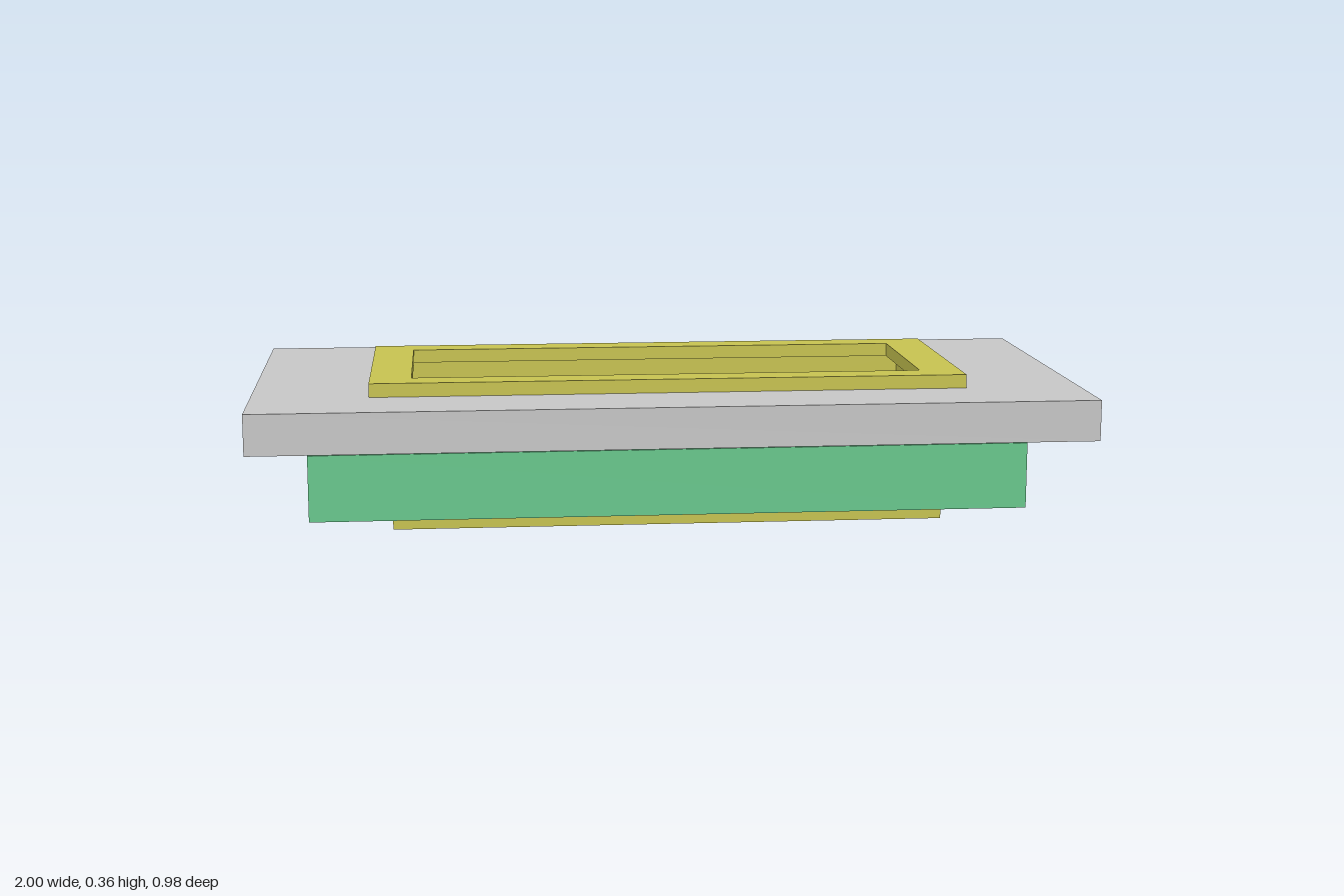
import * as THREE from 'three';

const grey = new THREE.MeshStandardMaterial({ color: 0xcacaca });
grey.name = 'plate grey';
const yellow = new THREE.MeshStandardMaterial({ color: 0xcac652 });
yellow.name = 'sleeve yellow';
const green = new THREE.MeshStandardMaterial({ color: 0x6acb8f });
green.name = 'clamp green';

const rect = (x, z) => [[-x, -z], [x, -z], [x, z], [-x, z]];
const points = (list) => list.map(([a, b]) => new THREE.Vector2(a, b));

// Horizontal frame: an outline with a hole, from y0 to y1
function frame(name, material, outer, hole, y0, y1) {
  const shape = new THREE.Shape(points(outer));
  shape.holes.push(new THREE.Path(points(hole)));
  const geometry = new THREE.ExtrudeGeometry(shape, { depth: y1 - y0, bevelEnabled: false });
  geometry.rotateX(-Math.PI / 2).translate(0, y0, 0);
  const mesh = new THREE.Mesh(geometry, material);
  mesh.name = name;
  return mesh;
}

function box(name, material, w, h, d, x, y, z) {
  const mesh = new THREE.Mesh(new THREE.BoxGeometry(w, h, d), material);
  mesh.position.set(x, y, z);
  mesh.name = name;
  return mesh;
}

export function createModel() {
  const model = new THREE.Group();
  model.name = 'panelInsert';

  // Mounting panel with its cutout
  model.add(frame('panel', grey, rect(1, 0.49), rect(0.67, 0.262), 0.232, 0.33));

  // Sleeve: top flange with a lip over thin walls
  const sleeve = new THREE.Group();
  sleeve.name = 'sleeve';
  sleeve.add(frame('flange', yellow, rect(0.72, 0.293), rect(0.62, 0.217), 0.33, 0.363));
  const wall = 0.016, height = 0.33;
  for (const side of [-1, 1]) {
    sleeve.add(box('longWall', yellow, 1.34, height, wall, 0, height / 2, side * (0.262 - wall / 2)));

    // End wall with a latch slot
    const shape = new THREE.Shape(points([[-0.246, 0], [0.246, 0], [0.246, height], [-0.246, height]]));
    shape.holes.push(new THREE.Path(points([[-0.11, 0.07], [0.11, 0.07], [0.11, 0.16], [-0.11, 0.16]])));
    const geometry = new THREE.ExtrudeGeometry(shape, { depth: wall, bevelEnabled: false });
    geometry.translate(0, 0, -wall / 2).rotateY(Math.PI / 2);
    const end = new THREE.Mesh(geometry, yellow);
    end.position.x = side * (0.67 - wall / 2);
    end.name = 'endWall';
    sleeve.add(end);
  }
  model.add(sleeve);

  // Clamp ring, its opening widened past the sleeve ends
  const clamp = new THREE.Group();
  clamp.name = 'clamp';
  const a = 0.67, b = 0.262, c = 0.76, d = 0.23;
  const opening = [[-a, -b], [a, -b], [a, -d], [c, -d], [c, d], [a, d],
    [a, b], [-a, b], [-a, d], [-c, d], [-c, -d], [-a, -d]];
  clamp.add(frame('clampRing', green, rect(0.867, 0.327), opening, 0.037, 0.198));

  // Ribs on the end faces of the opening
  for (const side of [-1, 1]) {
    for (const z of [-0.18, -0.06, 0.06, 0.18]) {
      clamp.add(box('rib', green, 0.04, 0.13, 0.018, side * 0.742, 0.125, z));
    }
  }
  model.add(clamp);
  return model;
}
